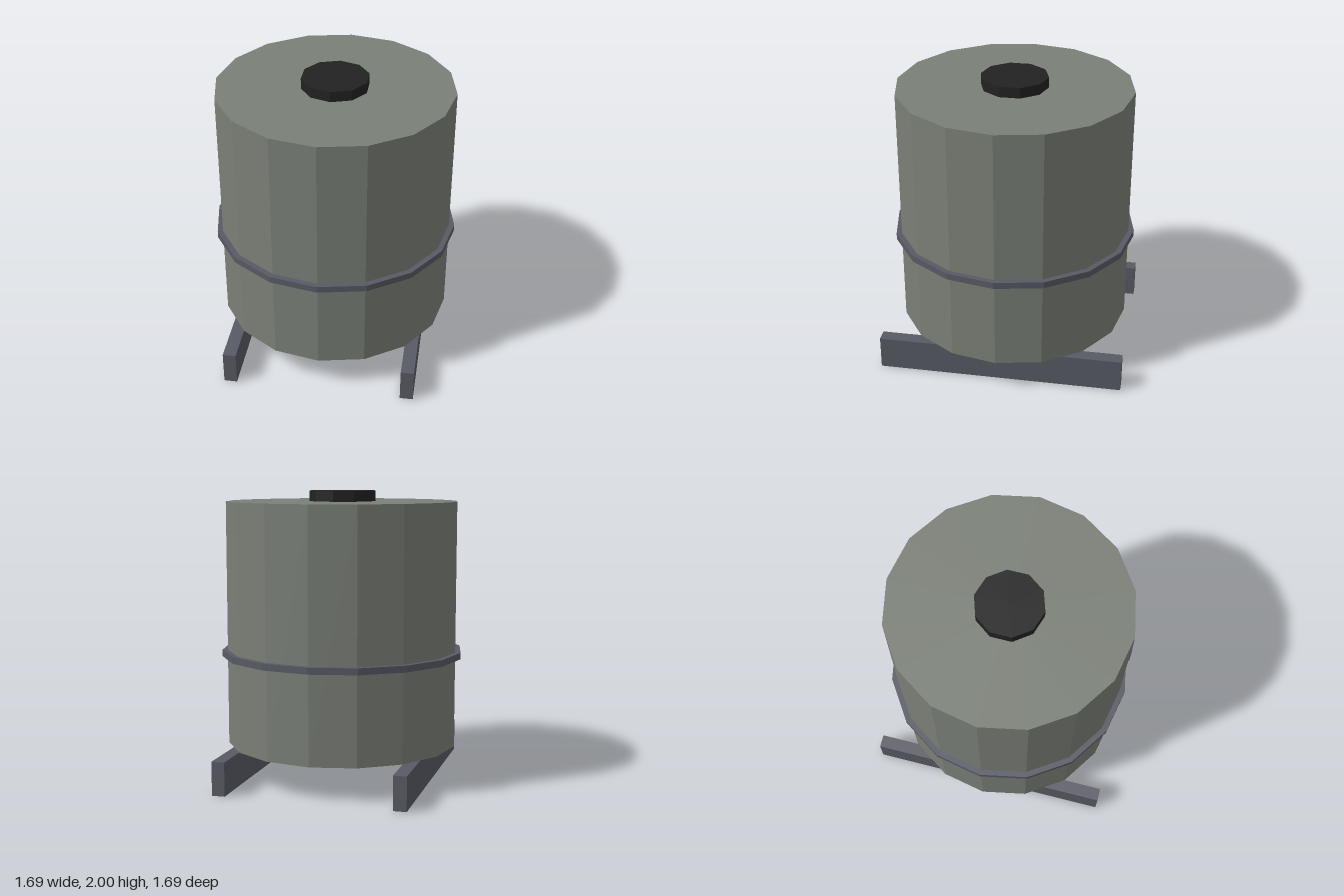
import * as THREE from 'three';

const mat = (name, color) => {
  const m = new THREE.MeshStandardMaterial({ color, flatShading: true });
  m.name = name;
  return m;
};

export function createModel() {
  const group = new THREE.Group();
  const greyGreen = mat('greyGreenPaint', 0x7a7f77);
  const steel = mat('blueGreySteel', 0x585a64);
  const black = mat('blackCap', 0x222222);

  const add = (name, geometry, material, x, y, z) => {
    const mesh = new THREE.Mesh(geometry, material);
    mesh.name = name;
    mesh.position.set(x, y, z);
    group.add(mesh);
  };
  // Upright prism between two heights
  const drum = (name, radius, y0, y1, sides, material) =>
    add(name, new THREE.CylinderGeometry(radius, radius, y1 - y0, sides), material, 0, (y0 + y1) / 2, 0);

  drum('tankBody', 0.807, 0.232, 1.927, 16, greyGreen);
  drum('tankBand', 0.845, 0.85, 0.895, 16, steel);
  drum('fillerCap', 0.23, 1.927, 2, 10, black);

  // Skid rails under the tank
  for (const [name, side] of [['leftSkid', 1], ['rightSkid', -1]]) {
    add(name, new THREE.BoxGeometry(0.09, 0.232, 1.69), steel, side * 0.616, 0.116, 0);
  }
  return group;
}
